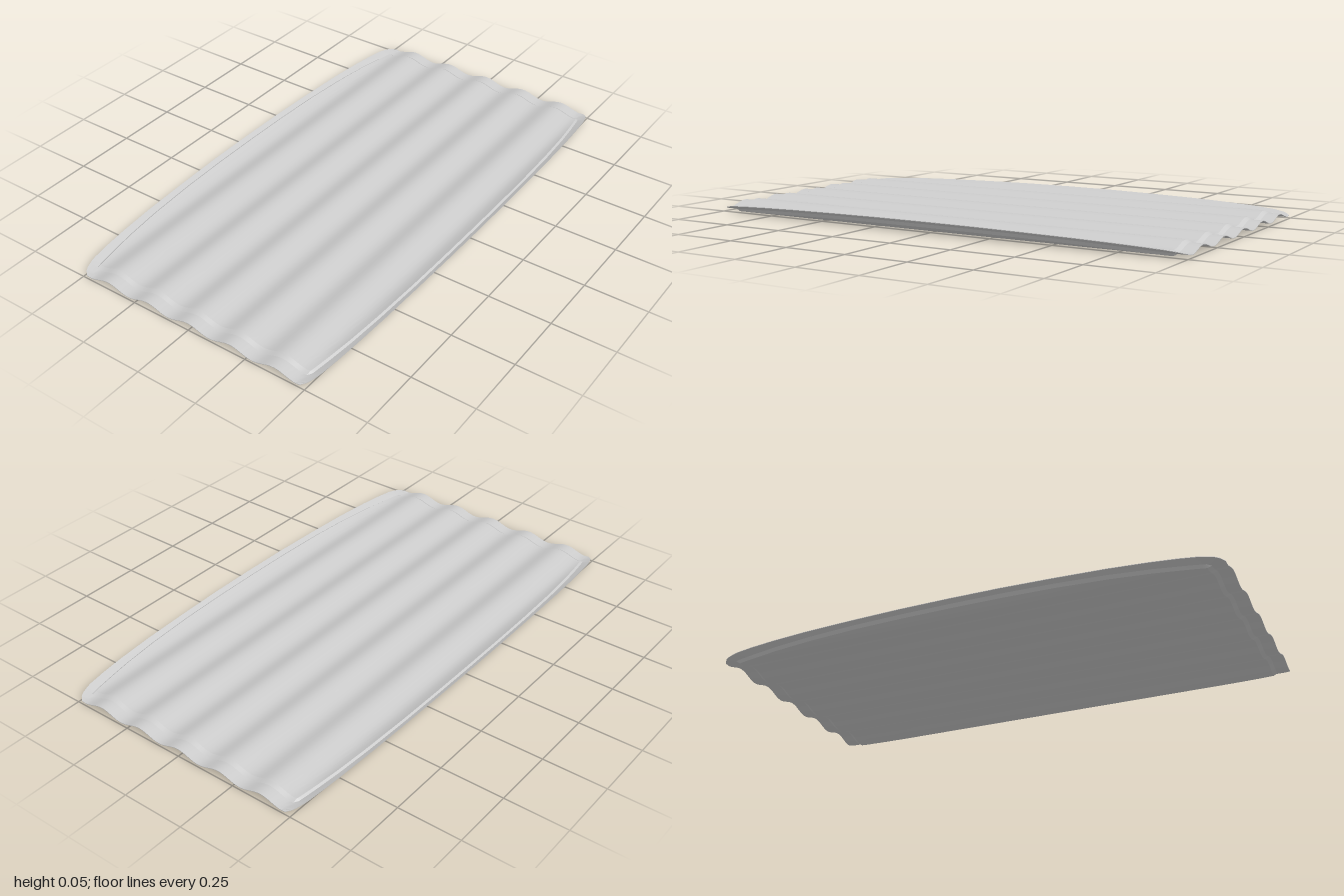
import * as THREE from 'three';
import { toCreasedNormals } from 'three/addons/utils/BufferGeometryUtils.js';

// Stations along half the length: [z, outer half width, half width of the thick body]
const STATIONS = [
  [0, 0.553, 0.535], [0.2, 0.552, 0.534], [0.4, 0.548, 0.530], [0.6, 0.542, 0.521],
  [0.75, 0.534, 0.509], [0.85, 0.526, 0.497], [0.92, 0.518, 0.487], [0.935, 0.515, 0.484],
  [0.95, 0.511, 0.480], [0.97, 0.505, 0.475], [0.985, 0.497, 0.470], [1, 0.48, 0.460],
];
const BODY = 0.01, RIM = 0.001;      // half thicknesses
const BODY_END = 0.935;              // where the body slopes down to the end rim
const PITCH = 0.187, TROUGH = PITCH * 2.5;

// Mid surface: lengthwise corrugations, with the long edges curling up
function midHeight(x) {
  const d = Math.abs(x) - TROUGH;
  if (d > 0) return 0.01 + 0.038 * Math.pow(d / 0.086, 1.5);
  return 0.0205 + 0.0105 * Math.cos((x / PITCH) * Math.PI * 2);
}

// Closed cross-section at one station: over the top, back along the underside
function crossSection([z, outer, inner]) {
  const bevel = inner - 0.008, steps = 60, columns = [];
  columns.push([-outer, RIM], [-inner, RIM]);
  for (let i = 0; i <= steps; i++) columns.push([bevel * (2 * i / steps - 1), BODY]);
  columns.push([inner, RIM], [outer, RIM]);
  const point = ([x, t], side) =>
    [x, midHeight(x) + side * (Math.abs(z) > BODY_END + 0.001 ? RIM : t), z];
  return [
    ...columns.map((c) => point(c, 1)),
    ...columns.reverse().map((c) => point(c, -1)),
  ];
}

function matGeometry() {
  const back = STATIONS.slice(1).reverse().map(([z, o, i]) => [-z, o, i]);
  const rings = [...back, ...STATIONS].map(crossSection);
  const size = rings[0].length, last = (rings.length - 1) * size;
  const index = [];
  for (let r = 0; r < rings.length - 1; r++) {
    for (let j = 0; j < size; j++) {
      const k = (j + 1) % size;
      const a = r * size + j, b = r * size + k;
      index.push(a, a + size, b, b, a + size, b + size);
    }
  }
  // Thin edge strips at both ends
  for (let j = 0; j < size / 2 - 1; j++) {
    const p = size - 1 - j;
    index.push(last + j, last + p, last + p - 1, last + j, last + p - 1, last + j + 1);
    index.push(j, p - 1, p, j, j + 1, p - 1);
  }
  const geometry = new THREE.BufferGeometry();
  geometry.setAttribute('position', new THREE.Float32BufferAttribute(rings.flat(2), 3));
  geometry.setIndex(index);
  return toCreasedNormals(geometry, 0.45);
}

export function createModel() {
  const group = new THREE.Group();
  group.name = 'corrugatedMat';
  const mat = new THREE.Mesh(matGeometry(), new THREE.MeshStandardMaterial({ color: 0xcccccc }));
  mat.name = 'rimmedPanel';
  group.add(mat);
  return group;
}
